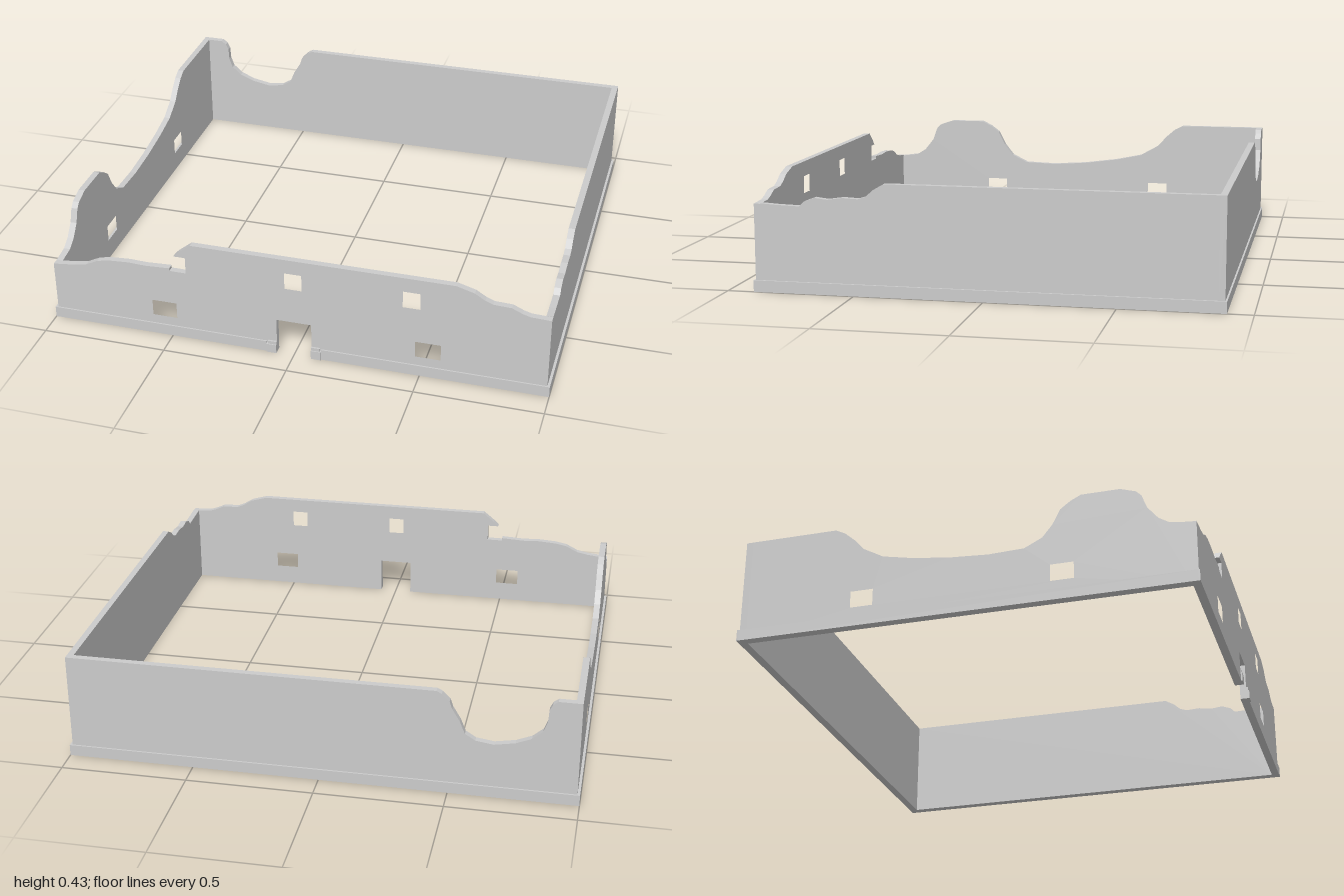
import * as THREE from 'three';

const X = 0.99, BACK = -0.895, FRONT = 0.89, T = 0.026, H = 0.43;
const DOOR = 0.07, PLINTH = 0.045;
const mat = new THREE.MeshStandardMaterial({ color: 0xcccccc, flatShading: true });

// Wall slab: broken top line from left to right, optional door, window holes [u, y, w, h]
function wall(name, top, windows = [], door = false) {
  const first = top[0][0], last = top[top.length - 1][0];
  const pts = [[first, 0], ...top, [last, 0]];
  if (door) pts.push([DOOR, 0], [DOOR, 0.15], [-DOOR, 0.15], [-DOOR, 0]);
  const shape = new THREE.Shape(pts.map(([u, y]) => new THREE.Vector2(u, y)));
  for (const [u, y, w, h] of windows) {
    const hole = new THREE.Path();
    hole.moveTo(u - w / 2, y - h / 2);
    hole.lineTo(u - w / 2, y + h / 2);
    hole.lineTo(u + w / 2, y + h / 2);
    hole.lineTo(u + w / 2, y - h / 2);
    hole.closePath();
    shape.holes.push(hole);
  }
  const mesh = new THREE.Mesh(
    new THREE.ExtrudeGeometry(shape, { depth: T, bevelEnabled: false }), mat);
  mesh.name = name;
  return mesh;
}

// Box given by its minimum and maximum corners
function block(name, x0, x1, y0, y1, z0, z1) {
  const mesh = new THREE.Mesh(new THREE.BoxGeometry(x1 - x0, y1 - y0, z1 - z0), mat);
  mesh.position.set((x0 + x1) / 2, (y0 + y1) / 2, (z0 + z1) / 2);
  mesh.name = name;
  return mesh;
}

export function createModel() {
  const group = new THREE.Group();
  group.name = 'ruinedWalls';

  // Front wall: collapsed on the left through one window, chipped on the right
  const front = wall('frontWall', [
    [-X, 0.25], [-0.9, 0.26], [-0.85, 0.27], [-0.8, 0.295], [-0.75, 0.305], [-0.67, 0.31],
    [-0.6, 0.307], [-0.5, 0.312], [-0.5, 0.3], [-0.433, 0.3], [-0.433, 0.37], [-0.48, 0.37],
    [-0.46, 0.39], [-0.41, H], [0.63, H], [0.7, 0.41], [0.74, 0.385], [0.77, 0.373],
    [0.84, 0.37], [0.88, 0.352], [0.91, 0.343], [X, 0.34]],
  [[0, 0.335, 0.068, 0.07], [0.463, 0.335, 0.068, 0.07],
    [-0.53, 0.117, 0.1, 0.068], [0.53, 0.117, 0.1, 0.068]], true);
  front.position.z = FRONT - T;

  // Back wall with one rounded breach
  const back = wall('backWall', [
    [-X, H], [-0.9, H], [-0.88, 0.415], [-0.868, 0.39], [-0.865, 0.34], [-0.85, 0.3],
    [-0.81, 0.265], [-0.75, 0.24], [-0.67, 0.225], [-0.6, 0.235], [-0.56, 0.26],
    [-0.54, 0.31], [-0.51, 0.36], [-0.5, 0.39], [-0.47, 0.42], [-0.45, H], [X, H]]);
  back.position.z = BACK;

  // Side walls, profiles running from back to front
  const zb = BACK + T, zf = FRONT - T;
  const left = wall('leftWall', [
    [zb, H], [-0.52, H], [-0.48, 0.41], [-0.44, 0.375], [-0.4, 0.33], [-0.32, 0.285],
    [-0.2, 0.26], [-0.05, 0.24], [0.1, 0.23], [0.24, 0.235], [0.31, 0.27], [0.35, 0.32],
    [0.38, 0.38], [0.42, 0.41], [0.46, H], [0.61, H], [0.67, 0.41], [0.69, 0.39],
    [0.71, 0.335], [0.75, 0.285], [0.79, 0.26], [zf, 0.25]],
  [[-0.4, 0.117, 0.09, 0.068], [0.385, 0.117, 0.09, 0.068]]);
  const right = wall('rightWall', [
    [zb, H], [0.38, H], [0.42, 0.407], [0.45, 0.38], [0.48, 0.37], [0.54, 0.373],
    [0.6, 0.364], [0.65, 0.37], [0.69, 0.355], [0.71, 0.335], [0.8, 0.338], [zf, 0.342]]);
  left.rotation.y = right.rotation.y = -Math.PI / 2;
  left.position.x = -X + T;
  right.position.x = X;
  group.add(front, back, left, right);

  // Plinth along the outer foot, open at the door
  group.add(block('backPlinth', -1, 1, 0, PLINTH, BACK - 0.007, BACK));
  for (const s of [-1, 1]) {
    const span = (a, b) => [Math.min(s * a, s * b), Math.max(s * a, s * b)];
    group.add(block('sidePlinth', ...span(X, 1), 0, PLINTH, BACK, FRONT));
    group.add(block('frontPlinth', ...span(0.11, 1), 0, PLINTH, FRONT, FRONT + 0.006));
    // Stepped stone at each side of the door
    group.add(block('doorStone', ...span(DOOR, 0.11), 0, 0.037, FRONT, FRONT + 0.012));
    group.add(block('doorStoneCap', ...span(DOOR, 0.105), 0.037, 0.05, FRONT, FRONT + 0.008));
  }
  return group;
}
